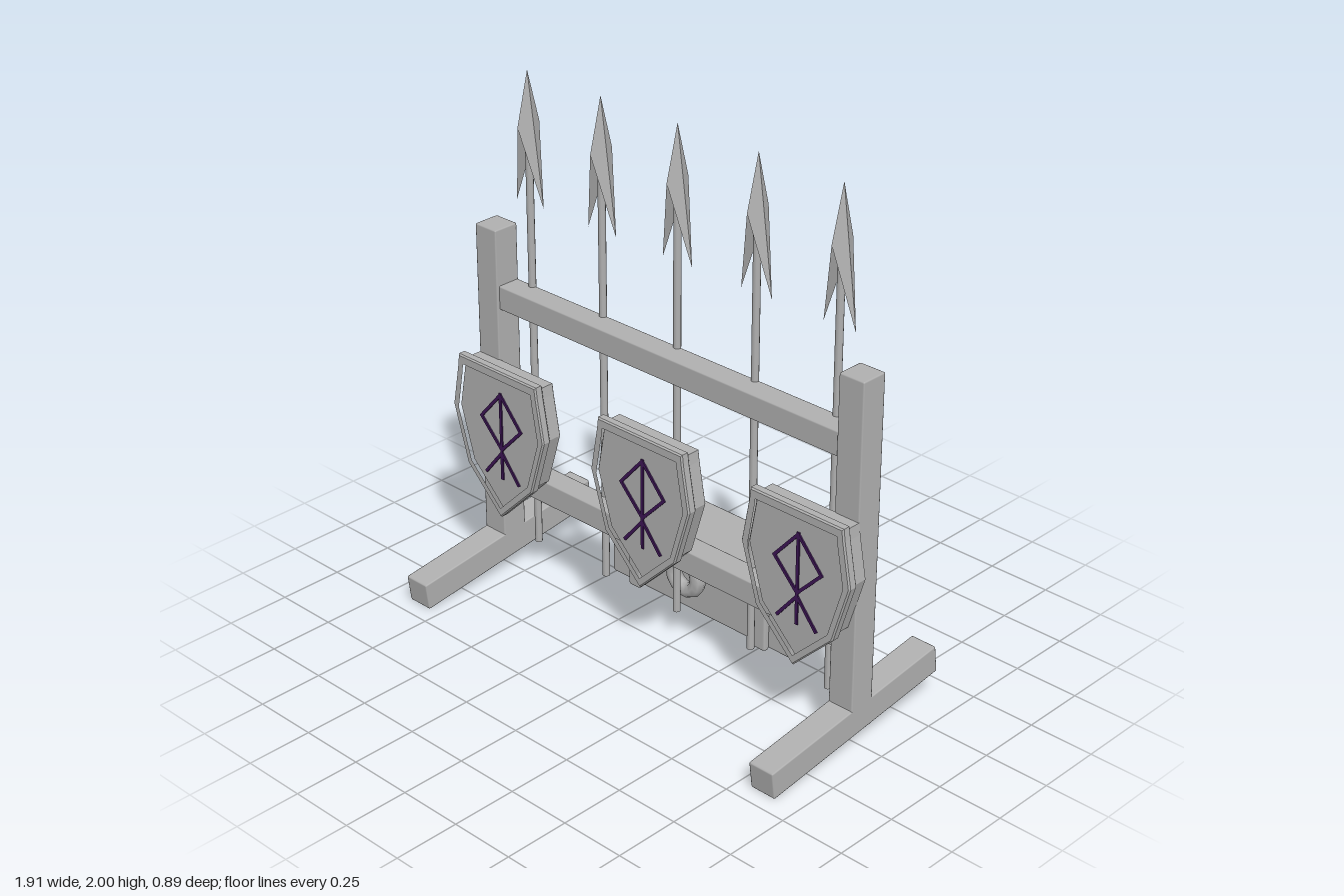
import * as THREE from 'three';
import { RoundedBoxGeometry } from 'three/addons/geometries/RoundedBoxGeometry.js';

export function createModel() {
  const grey = new THREE.MeshStandardMaterial({ color: 0xb0b0b0 });
  grey.name = 'plainGrey';
  const purple = new THREE.MeshStandardMaterial({ color: 0x3c1454 });
  purple.name = 'purplePaint';

  const model = new THREE.Group();
  model.name = 'weaponRack';

  const add = (parent, name, geometry, x, y, z, material = grey) => {
    const mesh = new THREE.Mesh(geometry, material);
    mesh.name = name;
    mesh.position.set(x, y, z);
    parent.add(mesh);
    return mesh;
  };
  const beam = (w, h, d, r = 0.006) => new RoundedBoxGeometry(w, h, d, 1, r);

  // Frame: two posts on tilted feet, joined by two rails
  for (const s of [-1, 1]) {
    add(model, 'post', beam(0.105, 1.335, 0.105), s * 0.852, 0.7325, -0.003);
    add(model, 'foot', beam(0.105, 0.107, 0.847), s * 0.852, 0.111, 0.02).rotation.x = 0.13;
  }
  for (const y of [0.417, 1.135])
    add(model, 'rail', beam(1.62, 0.093, 0.093), 0, y, -0.008);

  // Spears: thin shaft with a swept-back, four-sided barbed head
  const T = [0, 2, 0], R = [0.068, 1.5, 0], L = [-0.068, 1.5, 0];
  const F = [0, 1.8, 0.052], K = [0, 1.8, -0.052];
  const head = new THREE.BufferGeometry();
  const corners = [T, F, R, T, L, F, T, R, K, T, K, L, R, F, K, L, K, F];
  head.setAttribute('position', new THREE.Float32BufferAttribute(corners.flat(), 3));
  head.computeVertexNormals();
  const shaft = new THREE.CylinderGeometry(0.014, 0.014, 1.69, 10);
  for (let i = -2; i <= 2; i++) {
    const spear = new THREE.Group();
    spear.name = 'spear';
    spear.position.set(i * 0.358, 0, -0.046);
    add(spear, 'spearShaft', shaft, 0, 0.975, 0);
    add(spear, 'spearHead', head, 0, 0, 0);
    model.add(spear);
  }

  // Shields: a slab body, a raised rim and a painted line pattern
  const outline = [[0.2, 0.91], [0.205, 0.87], [0.236, 0.7], [0.168, 0.475], [0, 0.31]];
  const trace = (target, scale) => {
    const half = outline.map(([x, y]) => [x * scale, 0.62 + (y - 0.62) * scale]);
    const mirrored = half.slice(0, -1).reverse().map(([x, y]) => [-x, y]);
    target.setFromPoints([...half, ...mirrored].map(([x, y]) => new THREE.Vector2(x, y)));
    return target;
  };
  const rimShape = trace(new THREE.Shape(), 0.985);
  rimShape.holes.push(trace(new THREE.Path(), 0.885));
  const rim = new THREE.ExtrudeGeometry(rimShape, {
    depth: 0.026, bevelThickness: 0.006, bevelSize: 0.005, bevelSegments: 1,
  });
  const body = new THREE.ExtrudeGeometry(trace(new THREE.Shape(), 0.915), {
    depth: 0.073, bevelThickness: 0.006, bevelSize: 0.006, bevelSegments: 1,
  });
  const strokes = [
    [0, 0.81, 0, 0.465],
    [0, 0.807, 0.103, 0.69], [0, 0.807, -0.103, 0.69],
    [0.103, 0.69, 0, 0.583], [-0.103, 0.69, 0, 0.583],
    [0, 0.57, 0.085, 0.467], [0, 0.57, -0.085, 0.467],
  ];
  for (const x of [-0.715, 0, 0.715]) {
    const shield = new THREE.Group();
    shield.name = 'shield';
    shield.position.x = x;
    add(shield, 'shieldBody', body, 0, 0, 0.046);
    add(shield, 'shieldRim', rim, 0, 0, 0.112);
    for (const [x1, y1, x2, y2] of strokes) {
      const length = Math.hypot(x2 - x1, y2 - y1) + 0.008;
      const line = add(shield, 'paintedLine', new THREE.BoxGeometry(0.012, length, 0.006),
        (x1 + x2) / 2, (y1 + y2) / 2, 0.127, purple);
      line.rotation.z = Math.atan2(y2 - y1, x2 - x1) - Math.PI / 2;
    }
    model.add(shield);
  }

  // Chest behind the rack, with straps and a ring hung from a knob
  const chest = new THREE.Group();
  chest.name = 'chest';
  add(chest, 'chestBody', beam(0.89, 0.285, 0.262, 0.012), 0, 0.203, -0.297);
  for (const s of [-1, 1]) {
    add(chest, 'topStrap', beam(0.058, 0.028, 0.305, 0.01), s * 0.31, 0.359, -0.295);
    add(chest, 'frontStrap', beam(0.058, 0.305, 0.028, 0.01), s * 0.31, 0.21, -0.155);
  }
  add(chest, 'ringKnob', beam(0.105, 0.06, 0.05, 0.015), 0, 0.32, -0.138);
  add(chest, 'ring', new THREE.TorusGeometry(0.06, 0.03, 8, 14), 0, 0.26, -0.093);
  model.add(chest);

  return model;
}
